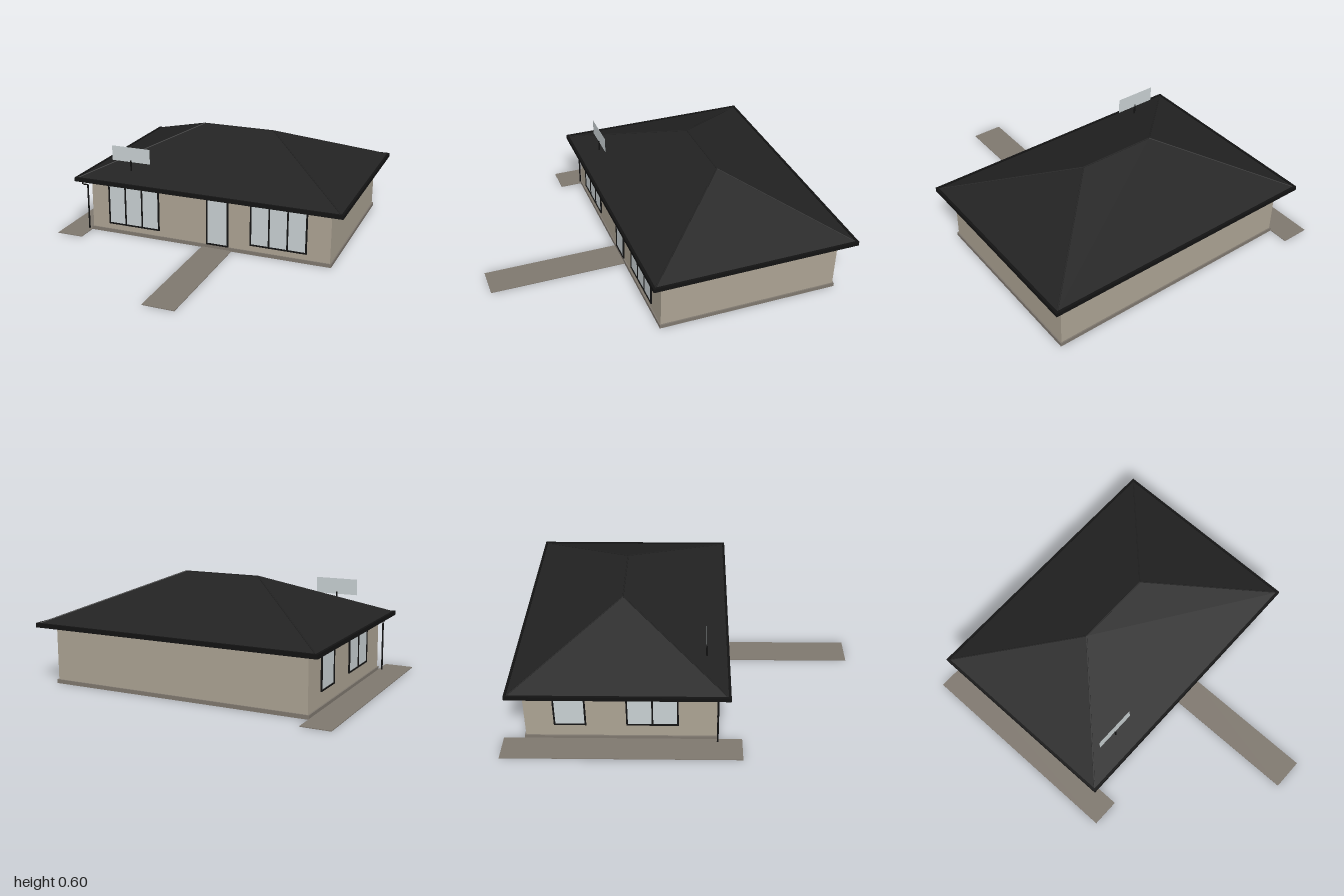
import * as THREE from 'three';
import { ConvexGeometry } from 'three/addons/geometries/ConvexGeometry.js';

const material = (name, color, side = THREE.FrontSide) => {
  const m = new THREE.MeshStandardMaterial({ color, side });
  m.name = name;
  return m;
};

export function createModel() {
  const house = new THREE.Group();
  house.name = 'house';

  const wall = material('wall beige', 0xaca393);
  const stone = material('stone grey', 0x7f786f);
  const roofing = material('roof charcoal', 0x222222);
  const trim = material('trim black', 0x131313);
  const glass = material('pale glass', 0xc8d0d2, THREE.DoubleSide);

  const add = (parent, name, geometry, mat) => {
    const mesh = new THREE.Mesh(geometry, mat);
    mesh.name = name;
    parent.add(mesh);
    return mesh;
  };
  // Box given by its limits on each axis
  const box = (parent, name, mat, x0, x1, y0, y1, z0, z1) => {
    const mesh = add(parent, name, new THREE.BoxGeometry(x1 - x0, y1 - y0, z1 - z0), mat);
    mesh.position.set((x0 + x1) / 2, (y0 + y1) / 2, (z0 + z1) / 2);
    return mesh;
  };
  // Round bar along a straight line between two points
  const bar = (name, a, b, radius, mat) =>
    add(house, name, new THREE.TubeGeometry(new THREE.LineCurve3(a, b), 1, radius, 6), mat);
  const v = (x, y, z) => new THREE.Vector3(x, y, z);

  // Ground and walls
  box(house, 'plinth', stone, -0.72, 0.81, 0, 0.022, -0.882, 0.192);
  box(house, 'walls', wall, -0.712, 0.802, 0.022, 0.335, -0.875, 0.185);
  box(house, 'frontPath', stone, 0.02, 0.207, 0, 0.004, 0.19, 1);
  box(house, 'sidePath', stone, -0.885, -0.72, 0, 0.004, -1, 0.327);

  // Hipped roof
  const L = -0.785, R = 0.875, B = -0.95, F = 0.25, eave = 0.345, top = 0.6;
  const run = (F - B) / 2;
  const ridge = [v(L + run, top, F - run), v(R - run, top, F - run)];
  const corners = [v(L, eave, B), v(L, eave, F), v(R, eave, B), v(R, eave, F)];
  add(house, 'roof', new ConvexGeometry([...ridge, ...corners]), roofing);
  box(house, 'soffit', stone, L, R, 0.334, 0.342, B, F);

  // Ridge and hip caps
  bar('ridgeCap', ridge[0], ridge[1], 0.004, roofing);
  corners.forEach((c, i) => bar('hipCap', c, ridge[i >> 1], 0.004, roofing));

  // Fascia and gutter around the eaves
  for (const x of [L, R]) box(house, 'sideFascia', trim, x - 0.007, x + 0.007, 0.328, 0.352, B - 0.006, F + 0.006);
  for (const z of [B, F]) box(house, 'endFascia', trim, L - 0.006, R + 0.006, 0.328, 0.352, z - 0.007, z + 0.007);

  // Framed glazing, built facing +z with its lower left corner at the origin
  const glazing = (name, width, height, panes) => {
    const g = new THREE.Group();
    g.name = name;
    const t = 0.0045;
    box(g, 'glass', glass, 0, width, 0, height, 0, 0.004);
    for (let i = 0; i <= panes; i++) {
      const x = (width * i) / panes;
      box(g, 'upright', trim, x - t, x + t, -t, height + t, 0, 0.008);
    }
    for (const y of [0, height]) box(g, 'rail', trim, -t, width + t, y - t, y + t, 0, 0.008);
    house.add(g);
    return g;
  };
  glazing('frontWindow', 0.33, 0.245, 3).position.set(-0.593, 0.062, 0.185);
  glazing('frontWindow', 0.335, 0.245, 3).position.set(0.325, 0.062, 0.185);
  glazing('door', 0.13, 0.28, 1).position.set(0.052, 0.027, 0.185);
  for (const [z, width, panes] of [[-0.71, 0.17, 1], [-0.31, 0.28, 2]]) {
    const w = glazing('sideWindow', width, 0.205, panes);
    w.rotation.y = -Math.PI / 2;
    w.position.set(-0.712, 0.102, z);
  }

  // Downpipe with an elbow up to the gutter
  const pipe = [v(-0.74, 0.004, 0.19), v(-0.74, 0.29, 0.19), v(-0.74, 0.315, 0.25), v(-0.74, 0.335, 0.25)];
  for (let i = 0; i < 3; i++) bar('downpipe', pipe[i], pipe[i + 1], 0.005, trim);

  // Upright panel on a short post
  bar('panelPost', v(-0.47, 0.395, 0.128), v(-0.47, 0.463, 0.128), 0.005, trim);
  add(house, 'roofPanel', new THREE.PlaneGeometry(0.252, 0.092), glass).position.set(-0.47, 0.496, 0.126);

  return house;
}
